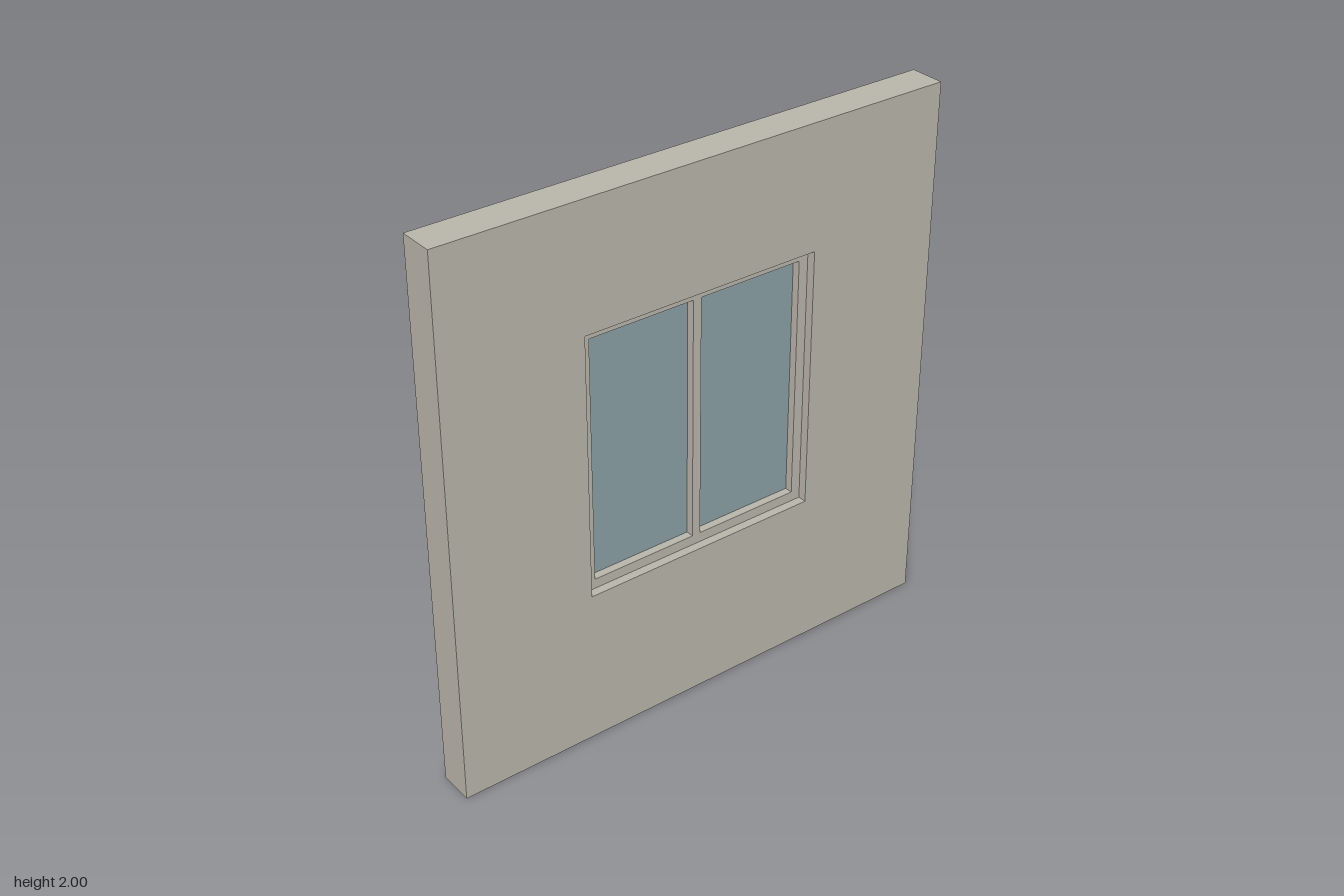
import * as THREE from 'three';

export function createModel() {
  const model = new THREE.Group();
  const plaster = new THREE.MeshStandardMaterial({ name: 'warm grey plaster', color: 0xb8b4aa });
  const glass = new THREE.MeshStandardMaterial({ name: 'blue grey glass', color: 0x8a9fa5 });

  const depth = 0.129; // wall runs from z = 0 to this depth
  const wall = { x0: -0.9675, x1: 0.9675, y0: 0, y1: 2 };
  const opening = { x0: -0.4515, x1: 0.4515, y0: 0.581, y1: 1.548 };
  const border = 0.036;
  const halfMullion = 0.016;

  const corners = ({ x0, x1, y0, y1 }) =>
    [[x0, y0], [x1, y0], [x1, y1], [x0, y1]].map(([x, y]) => new THREE.Vector2(x, y));

  // Upright slab with rectangular holes
  function slab(name, outer, holes, z, thickness) {
    const shape = new THREE.Shape(corners(outer));
    for (const hole of holes) shape.holes.push(new THREE.Path(corners(hole).reverse()));
    const geometry = new THREE.ExtrudeGeometry(shape, { depth: thickness, bevelEnabled: false });
    const mesh = new THREE.Mesh(geometry, plaster);
    mesh.name = name;
    mesh.position.z = z;
    model.add(mesh);
  }

  function box(name, size, position, material) {
    const mesh = new THREE.Mesh(new THREE.BoxGeometry(...size), material);
    mesh.name = name;
    mesh.position.set(...position);
    model.add(mesh);
  }

  // The two panes either side of the mullion
  const y0 = opening.y0 + border, y1 = opening.y1 - border;
  const panes = [
    { name: 'rightPane', x0: opening.x0 + border, x1: -halfMullion, y0, y1 },
    { name: 'leftPane', x0: halfMullion, x1: opening.x1 - border, y0, y1 },
  ];

  // Wall, and the window frame set midway in its depth
  slab('wall', wall, [opening], 0, depth);
  slab('windowFrame', opening, panes, depth / 4, depth / 2);

  for (const p of panes) {
    box(p.name, [p.x1 - p.x0, p.y1 - p.y0, 0.006],
      [(p.x0 + p.x1) / 2, (p.y0 + p.y1) / 2, depth / 2], glass);
  }

  // Sill projecting from the back of the wall
  box('windowSill', [0.968, 0.021, depth], [0, opening.y0 - 0.0105, -depth / 2], plaster);

  return model;
}
